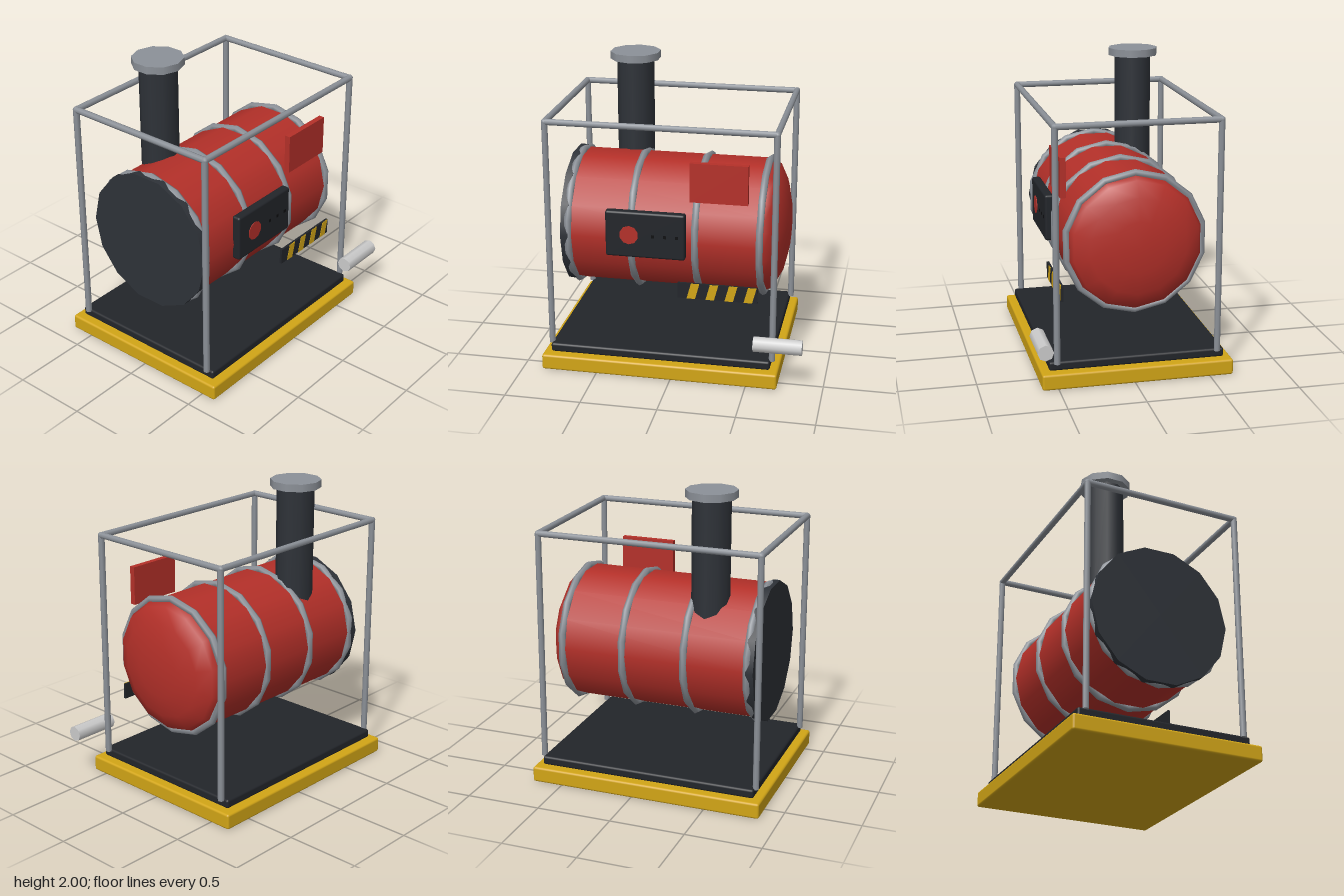
import * as THREE from 'three';
import { RoundedBoxGeometry } from 'three/addons/geometries/RoundedBoxGeometry.js';

const mat = (color) => new THREE.MeshStandardMaterial({ color });

export function createModel() {
  const model = new THREE.Group();
  model.name = 'boilerUnit';
  const red = mat(0xb43029), yellow = mat(0xd2a516), dark = mat(0x22252a);
  const iron = mat(0x2e3238), steel = mat(0x8c9198), pale = mat(0xcccccc);

  const add = (name, geometry, material, x, y, z, parent = model) => {
    const mesh = new THREE.Mesh(geometry, material);
    mesh.name = name;
    mesh.position.set(x, y, z);
    parent.add(mesh);
    return mesh;
  };
  // cylinder lying along x
  const barrel = (radius, length, sides) =>
    new THREE.CylinderGeometry(radius, radius, length, sides).rotateZ(-Math.PI / 2);

  // skid base and floor mat
  add('base', new RoundedBoxGeometry(1.575, 0.105, 1.26, 2, 0.015), yellow, -0.083, 0.0525, -0.025);
  add('floorMat', new RoundedBoxGeometry(1.47, 0.06, 1.155, 2, 0.015), dark, -0.083, 0.14, -0.025);

  // boiler tank with flat rear plate, shallow domed end and hoops
  const tank = new THREE.Group();
  tank.name = 'tank';
  tank.position.set(0, 0.903, -0.025);
  model.add(tank);
  add('tankBody', barrel(0.45, 1.29, 14), red, -0.075, 0, 0, tank);
  add('endPlate', barrel(0.467, 0.05, 14), iron, -0.738, 0, 0, tank);
  const dome = new THREE.SphereGeometry(0.45, 14, 4, 0, Math.PI * 2, 0, Math.PI / 2)
    .rotateZ(-Math.PI / 2).scale(0.155 / 0.45, 1, 1);
  add('domedEnd', dome, red, 0.55, 0, 0, tank);
  const hoop = new THREE.TorusGeometry(0.451, 0.025, 6, 14)
    .rotateZ(Math.PI / 2).rotateY(Math.PI / 2);
  for (const x of [-0.715, -0.293, 0.13, 0.55]) add('hoop', hoop, steel, x, 0, 0, tank);

  // chimney
  add('chimney', new THREE.CylinderGeometry(0.125, 0.125, 0.82, 10), iron, -0.396, 1.55, -0.236);
  add('chimneyCap', new THREE.CylinderGeometry(0.169, 0.169, 0.05, 10), steel, -0.396, 1.975, -0.236);

  // tubular guard frame
  const frame = new THREE.Group();
  frame.name = 'guardFrame';
  model.add(frame);
  const xs = [-0.82, 0.66], zs = [-0.553, 0.503], top = 1.694, tube = 0.021;
  const post = new THREE.CylinderGeometry(tube, tube, top - 0.16, 8);
  const joint = new THREE.SphereGeometry(0.022, 8, 6);
  for (const x of xs) {
    for (const z of zs) {
      add('framePost', post, steel, x, (top + 0.16) / 2, z, frame);
      add('frameJoint', joint, steel, x, top, z, frame);
    }
    const rail = new THREE.CylinderGeometry(tube, tube, zs[1] - zs[0], 8).rotateX(Math.PI / 2);
    add('sideRail', rail, steel, x, top, (zs[0] + zs[1]) / 2, frame);
  }
  for (const z of zs) add('longRail', barrel(tube, xs[1] - xs[0], 8), steel, -0.08, top, z, frame);

  // control box with knob and indicator studs
  add('controlBox', new RoundedBoxGeometry(0.525, 0.312, 0.06, 2, 0.015), dark, -0.188, 0.954, 0.438);
  add('knob', new THREE.CylinderGeometry(0.063, 0.063, 0.02, 10).rotateX(Math.PI / 2), red, -0.293, 0.953, 0.462);
  for (let i = 0; i < 3; i++) {
    add('stud', new THREE.BoxGeometry(0.02, 0.02, 0.012), mat(0x0c0d0f), -0.135 + i * 0.079, 0.953, 0.465);
  }

  // sign board
  add('signBoard', new THREE.BoxGeometry(0.375, 0.26, 0.038), red, 0.288, 1.325, 0.42);

  // hazard strip with slanted bars
  add('hazardStrip', new THREE.BoxGeometry(0.525, 0.106, 0.016), dark, 0.287, 0.586, 0.445);
  const slant = new THREE.Shape([[-0.042, -0.053], [0.014, -0.053], [0.042, 0.053], [-0.014, 0.053]]
    .map(([x, y]) => new THREE.Vector2(x, y)));
  const bar = new THREE.ExtrudeGeometry(slant, { depth: 0.006, bevelEnabled: false });
  for (let i = 0; i < 4; i++) add('hazardBar', bar, yellow, 0.127 + i * 0.125, 0.586, 0.45);

  // outlet pipe
  add('outletPipe', barrel(0.052, 0.315, 8), pale, 0.708, 0.322, 0.61);

  return model;
}
